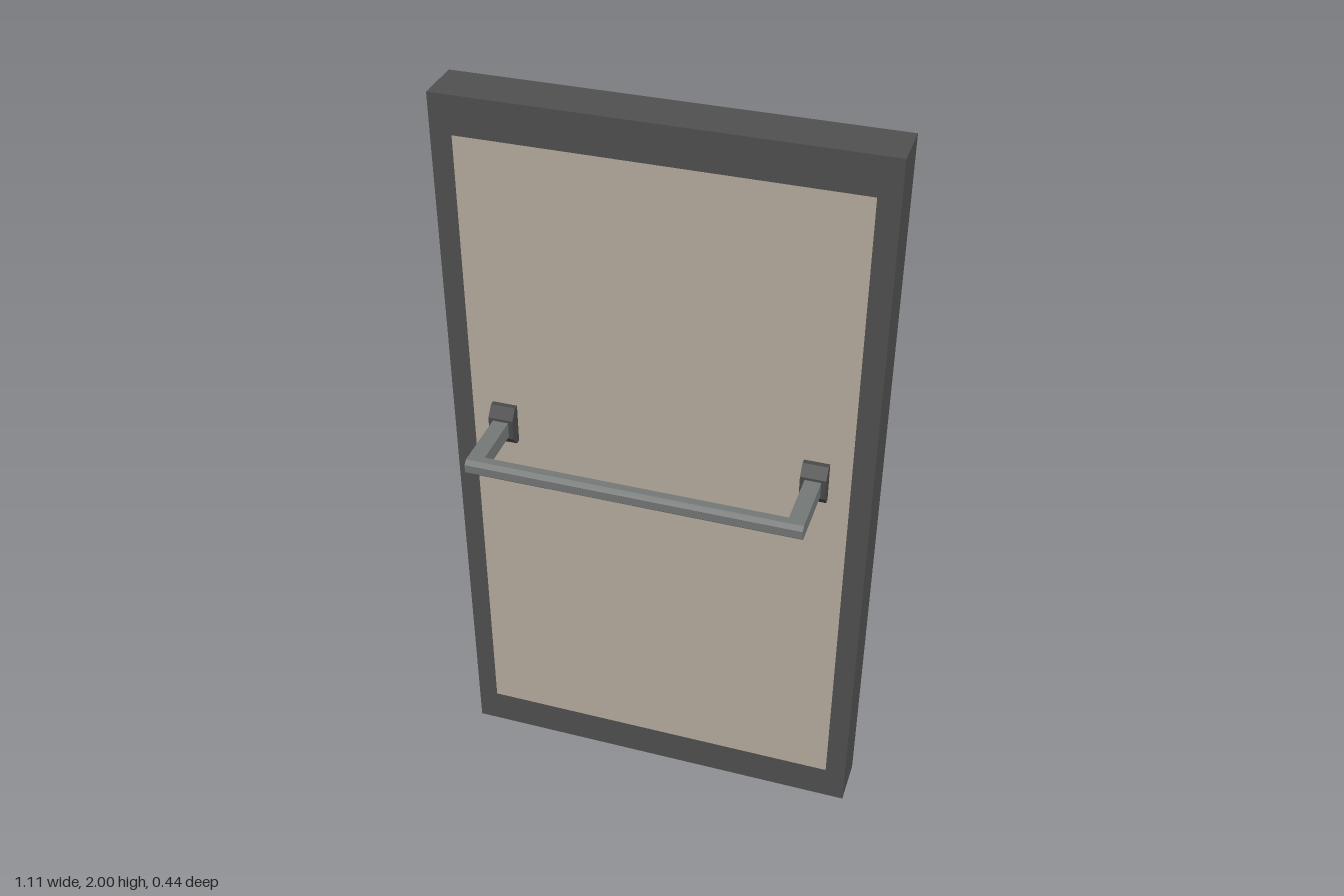
import * as THREE from 'three';

const material = (color) => new THREE.MeshStandardMaterial({ color, flatShading: true });
const frameMat = material(0x505050);
const panelMat = material(0xb8aea0);
const mountMat = material(0x4a4a4a);
const metalMat = material(0x747876);
const HANDLE_Y = 1.111;

// Adds a named box given its min and max on each axis
function box(parent, name, mat, [x0, x1], [y0, y1], [z0, z1]) {
  const mesh = new THREE.Mesh(new THREE.BoxGeometry(x1 - x0, y1 - y0, z1 - z0), mat);
  mesh.position.set((x0 + x1) / 2, (y0 + y1) / 2, (z0 + z1) / 2);
  mesh.name = name;
  parent.add(mesh);
  return mesh;
}

// Extrudes a (z, y) side profile along x, centred on x = 0
function sideExtrude(points, width) {
  const shape = new THREE.Shape(points.map(([z, y]) => new THREE.Vector2(-z, y)));
  const geo = new THREE.ExtrudeGeometry(shape, { depth: width, bevelEnabled: false });
  return geo.translate(0, 0, -width / 2).rotateY(Math.PI / 2);
}

// Rectangular outline used for the frame and its opening
function rect(target, x0, x1, y0, y1) {
  return target.moveTo(x0, y0).lineTo(x1, y0).lineTo(x1, y1).lineTo(x0, y1).closePath();
}

export function createModel() {
  const door = new THREE.Group();
  door.name = 'door';

  // Frame around a flush panel
  const outline = rect(new THREE.Shape(), -0.555, 0.555, 0, 2);
  outline.holes.push(rect(new THREE.Path(), -0.5, 0.5, 0.1, 1.9));
  const frame = new THREE.Mesh(
    new THREE.ExtrudeGeometry(outline, { depth: 0.13, bevelEnabled: false }), frameMat);
  frame.position.z = -0.135;
  frame.name = 'frame';
  door.add(frame);
  box(door, 'panel', panelMat, [-0.5, 0.5], [0.1, 1.9], [-0.135, -0.005]);

  // Front push bar: chamfered rail on two arms
  const pushBar = new THREE.Group();
  pushBar.name = 'pushBar';
  pushBar.position.y = HANDLE_Y;
  door.add(pushBar);
  const h = 0.021, c = 0.011;
  const rail = new THREE.Mesh(sideExtrude([
    [0.175, -c], [0.186, -h], [0.207, -h], [0.218, -c],
    [0.218, c], [0.207, h], [0.186, h], [0.175, c],
  ], 0.864), metalMat);
  rail.name = 'rail';
  pushBar.add(rail);

  for (const side of [-1, 1]) {
    const x = side * 0.411;
    box(pushBar, 'arm', metalMat, [x - 0.021, x + 0.021], [-h, h], [0.02, 0.207]);
    // Mount with sloped top and bottom
    const mount = new THREE.Mesh(sideExtrude([
      [-0.005, -0.055], [0.009, -0.055], [0.031, -0.028],
      [0.031, 0.028], [0.009, 0.055], [-0.005, 0.055],
    ], 0.066), mountMat);
    mount.position.x = x;
    mount.name = 'mount';
    pushBar.add(mount);
  }

  // Back lever: base block and a hooked lever
  const lever = new THREE.Group();
  lever.name = 'lever';
  lever.position.y = HANDLE_Y;
  door.add(lever);
  box(lever, 'leverBase', mountMat, [0.417, 0.47], [-0.027, 0.027], [-0.187, -0.135]);
  const hook = new THREE.Shape([
    [0.43, 0.18], [0.457, 0.18], [0.457, 0.22], [0.285, 0.22],
    [0.285, 0.178], [0.306, 0.178], [0.306, 0.2], [0.43, 0.2],
  ].map(([x, y]) => new THREE.Vector2(x, y)));
  const hookGeo = new THREE.ExtrudeGeometry(hook, { depth: 0.027, bevelEnabled: false });
  hookGeo.translate(0, 0, -0.0135).rotateX(-Math.PI / 2);
  const handle = new THREE.Mesh(hookGeo, metalMat);
  handle.name = 'leverHandle';
  lever.add(handle);

  return door;
}
